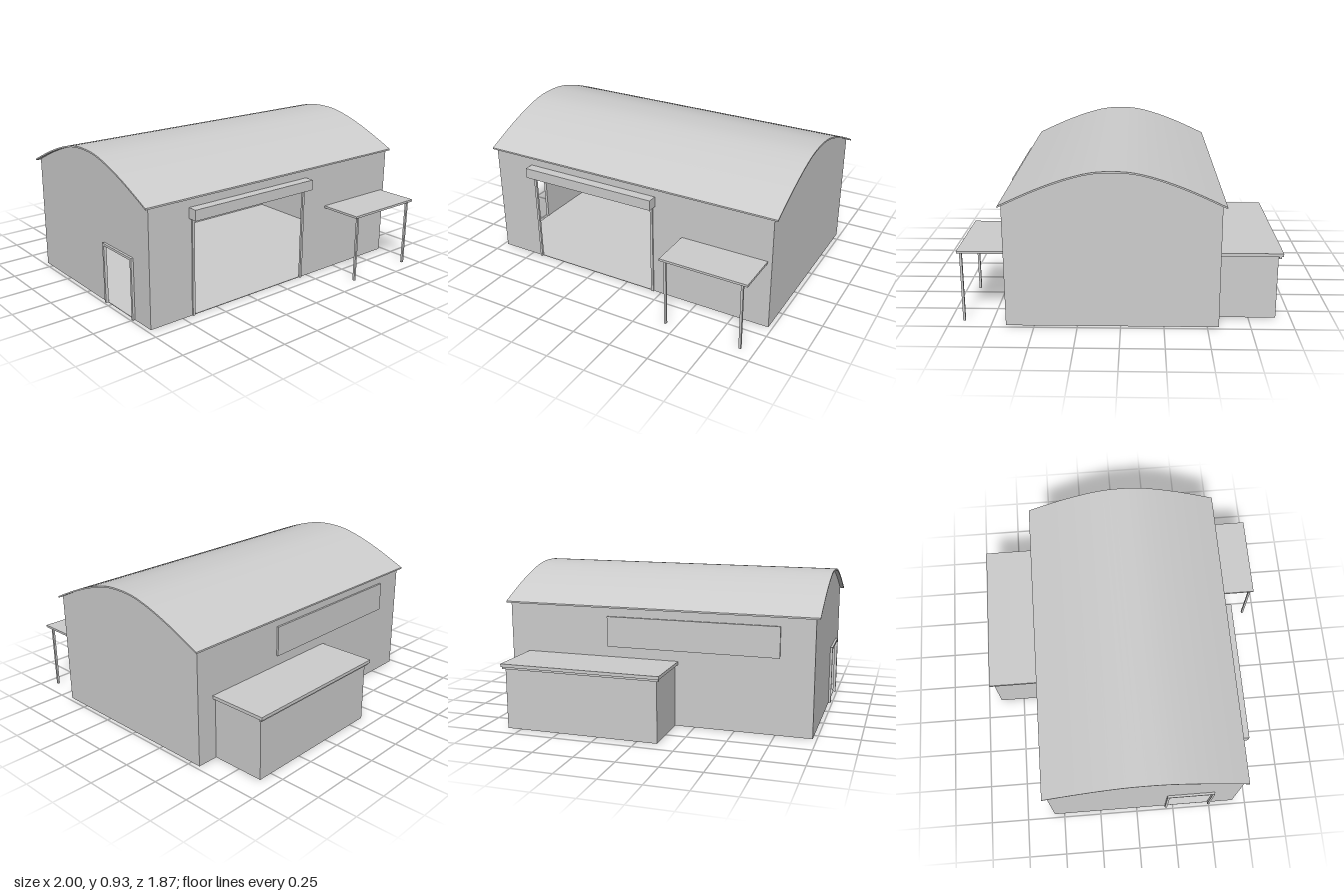
import * as THREE from 'three';
import { toCreasedNormals } from 'three/addons/utils/BufferGeometryUtils.js';

export function createModel() {
  const model = new THREE.Group();
  const grey = new THREE.MeshStandardMaterial({ color: 0xcccccc, side: THREE.DoubleSide });
  grey.name = 'light grey';

  const add = (name, geometry) => {
    const mesh = new THREE.Mesh(geometry, grey);
    mesh.name = name;
    model.add(mesh);
    return mesh;
  };
  // Box given by its limits on each axis
  const box = (name, x0, x1, y0, y1, z0, z1) =>
    add(name, new THREE.BoxGeometry(x1 - x0, y1 - y0, z1 - z0)
      .translate((x0 + x1) / 2, (y0 + y1) / 2, (z0 + z1) / 2));
  const shapeOf = (pts) => new THREE.Shape(pts.map(([a, b]) => new THREE.Vector2(a, b)));
  // Outline in (x, y) placed at a depth z
  const wallZ = (name, z, pts) =>
    add(name, new THREE.ShapeGeometry(shapeOf(pts)).translate(0, 0, z));
  // Outline in (z, y) placed at a given x
  const wallX = (name, x, pts) =>
    add(name, new THREE.ShapeGeometry(shapeOf(pts)).rotateY(-Math.PI / 2).translate(x, 0, 0));

  const W = 0.975, ZF = 0.665, ZB = -0.567, MID = 0.045;

  // Arched roof: half profile as distance from the ridge and height
  const half = [[0, 0.93], [0.12, 0.922], [0.25, 0.89], [0.385, 0.842], [0.5, 0.793], [0.635, 0.73]];
  const mirrored = [...half.slice(1).reverse().map(([d, y]) => [-d, y]), ...half];
  const curve = new THREE.SplineCurve(mirrored.map(([d, y]) => new THREE.Vector2(d + MID, y)));
  const arch = curve.getPoints(30).map((p) => [p.x, p.y]);
  const underside = arch.map(([z, y]) => [z, y - 0.01]);
  const roof = new THREE.ExtrudeGeometry(shapeOf([...arch, ...underside.slice().reverse()]),
    { depth: 2, bevelEnabled: false });
  roof.translate(0, 0, -1).rotateY(-Math.PI / 2);
  add('roof', toCreasedNormals(roof, 0.5));

  // Gable ends, the left-hand one (-x) with a doorway
  const gableTop = [[ZF, 0.727], ...underside.filter(([z]) => z < ZF && z > ZB).reverse(), [ZB, 0.727]];
  wallX('plainGable', W, [[ZB, 0], [ZF, 0], ...gableTop]);
  wallX('doorGable', -W, [[ZB, 0], [0.21, 0], [0.21, 0.37], [0.49, 0.37], [0.49, 0], [ZF, 0], ...gableTop]);

  // Long walls, the front one with a wide gateway
  wallZ('frontWall', ZF, [[-W, 0], [-0.668, 0], [-0.668, 0.61], [0.185, 0.61], [0.185, 0],
    [W, 0], [W, 0.727], [-W, 0.727]]);
  wallZ('backWall', ZB, [[-W, 0], [W, 0], [W, 0.727], [-W, 0.727]]);
  box('floor', -W, W, 0, 0.004, ZB, ZF);

  // Gateway jambs and shutter housing
  box('gateJamb', -0.683, -0.667, 0, 0.605, ZF - 0.005, 0.674);
  box('gateJamb', 0.184, 0.2, 0, 0.605, ZF - 0.005, 0.674);
  box('shutterHousing', -0.7, 0.215, 0.603, 0.668, ZF, 0.725);

  // Side door frame
  for (const z of [0.195, 0.49]) box('sideDoorJamb', -0.99, -W + 0.004, 0, 0.385, z, z + 0.015);
  box('sideDoorHead', -0.99, -W + 0.004, 0.37, 0.385, 0.195, 0.505);

  // Front canopy on two posts
  box('canopy', 0.397, 0.948, 0.43, 0.444, ZF, 0.936);
  for (const x of [0.422, 0.904]) box('canopyPost', x, x + 0.014, 0, 0.43, 0.912, 0.926);

  // Rear window panel
  box('rearWindow', -0.77, 0.313, 0.475, 0.665, ZB - 0.012, ZB);

  // Rear lean-to, open underneath, with roof slab and gutter
  const X0 = -0.125, X1 = 0.84, ZR = -0.912;
  wallZ('annexBackWall', ZR, [[X0, 0], [X1, 0], [X1, 0.39], [X0, 0.39]]);
  for (const x of [X0, X1]) wallX('annexEndWall', x, [[ZR, 0], [ZB, 0], [ZB, 0.39], [ZR, 0.39]]);
  box('annexRoof', -0.145, 0.86, 0.39, 0.41, -0.938, ZB);
  box('annexGutter', -0.14, 0.855, 0.376, 0.39, -0.927, -0.914);

  return model;
}
